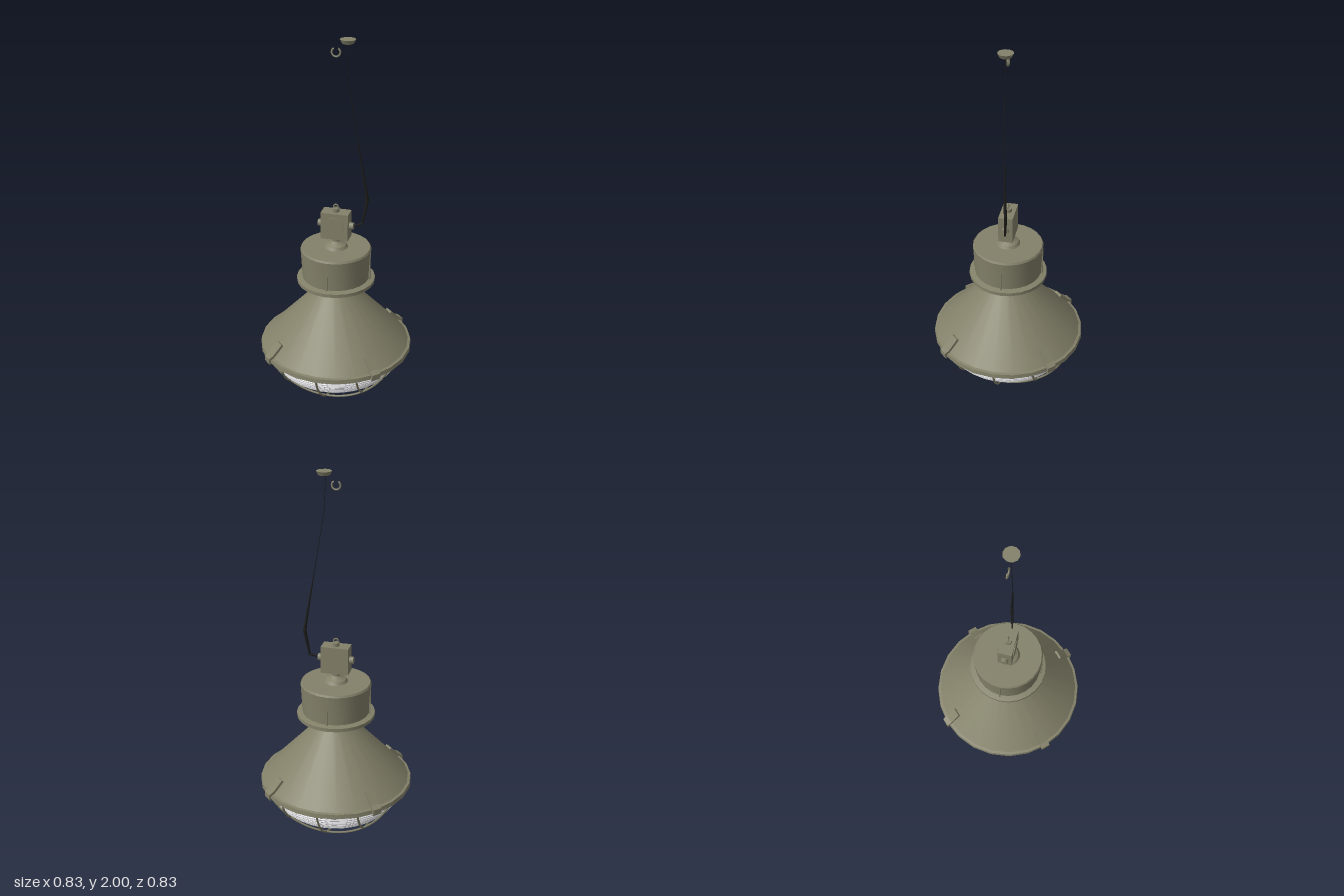
import * as THREE from 'three';
import { toCreasedNormals } from 'three/addons/utils/BufferGeometryUtils.js';

const paint = new THREE.MeshStandardMaterial({ name: 'olivePaint', color: 0x838169, side: THREE.DoubleSide });
const cableMat = new THREE.MeshStandardMaterial({ name: 'blackCable', color: 0x1c1c1a });
const glassMat = new THREE.MeshStandardMaterial({ name: 'paleGlass', color: 0xe0e0e3, side: THREE.DoubleSide });

export function createModel() {
  const model = new THREE.Group();
  model.name = 'pendantLamp';

  const add = (name, geo, mat, x = 0, y = 0, z = 0, parent = model) => {
    const mesh = new THREE.Mesh(geo, mat);
    mesh.name = name;
    mesh.position.set(x, y, z);
    parent.add(mesh);
    return mesh;
  };
  const lathe = (pts, sides = 24) =>
    toCreasedNormals(new THREE.LatheGeometry(pts.map(p => new THREE.Vector2(...p)), sides), 0.5);
  // Tapered round bar between two points
  const bar = (name, a, b, ra, rb, mat, sides = 6) => {
    const dir = b.clone().sub(a);
    const mesh = add(name, new THREE.CylinderGeometry(rb, ra, dir.length(), sides), mat);
    mesh.position.copy(a).addScaledVector(dir, 0.5);
    mesh.quaternion.setFromUnitVectors(new THREE.Vector3(0, 1, 0), dir.normalize());
    return mesh;
  };

  // Shade, with rolled rim
  add('shade', lathe([[0.4, 0.311], [0.1, 0.635]]), paint);
  add('rim', lathe([[0.375, 0.283], [0.405, 0.278], [0.417, 0.285], [0.414, 0.308], [0.4, 0.311]]), paint);
  add('neck', lathe([[0.1, 0.63], [0.1, 0.665], [0.108, 0.67], [0.108, 0.69]]), paint);

  // Ballast drum with stepped underside and lid
  add('drumFlange', lathe([[0.09, 0.7], [0.13, 0.7], [0.14, 0.688], [0.17, 0.688], [0.178, 0.683],
    [0.21, 0.683], [0.21, 0.702], [0.18, 0.708]]), paint);
  add('drum', lathe([[0.18, 0.7], [0.189, 0.87], [0.183, 0.88], [0, 0.88]]), paint);
  add('stemDome', lathe([[0.065, 0.88], [0.055, 0.895], [0.03, 0.908], [0.022, 0.915], [0.022, 0.94]], 16), paint);
  for (const a of [0, Math.PI / 2, Math.PI, -Math.PI / 2]) {
    const seam = add('drumSeam', new THREE.BoxGeometry(0.008, 0.165, 0.008), paint, Math.sin(a) * 0.186, 0.785, Math.cos(a) * 0.186);
    seam.rotation.y = a;
  }

  // Junction box with round cover and side glands
  add('junctionBox', new THREE.BoxGeometry(0.148, 0.148, 0.076), paint, 0, 1.01, 0);
  const cover = add('boxCover', new THREE.CylinderGeometry(0.05, 0.05, 0.006, 16), paint, 0, 1.01, 0.039);
  cover.rotation.x = Math.PI / 2;
  for (const s of [-1, 1]) {
    const gland = add('sideGland', new THREE.CylinderGeometry(0.02, 0.02, 0.024, 8), paint, s * 0.084, 1.01, 0);
    gland.rotation.z = Math.PI / 2;
  }
  add('topGland', new THREE.CylinderGeometry(0.02, 0.02, 0.02, 8), paint, 0, 1.093, 0);
  add('bottomGland', new THREE.CylinderGeometry(0.02, 0.02, 0.025, 8), paint, 0, 0.925, 0);
  add('eyeBolt', new THREE.TorusGeometry(0.012, 0.004, 6, 12), paint, 0, 1.112, 0);

  // Rim clips at the four diagonals
  const clipShape = new THREE.Shape([[0.338, 0.372], [0.35, 0.382], [0.402, 0.328], [0.428, 0.315], [0.428, 0.285],
    [0.418, 0.275], [0.416, 0.306], [0.398, 0.313]].map(p => new THREE.Vector2(...p)));
  const clipGeo = new THREE.ExtrudeGeometry(clipShape, { depth: 0.05, bevelEnabled: false });
  clipGeo.translate(0, 0, -0.025);
  for (let i = 0; i < 4; i++) {
    add('rimClip', clipGeo, paint).rotation.y = Math.PI / 4 + i * Math.PI / 2;
  }

  // Glass bowl: smooth bottom, stepped ribs on the upper band
  const bowlR = y => 0.375 * Math.sqrt(Math.max(0, 1 - ((0.285 - y) / 0.23) ** 2));
  const bowl = [];
  for (let i = 0; i <= 10; i++) {
    const y = 0.055 + 0.08 * (i / 10) ** 2;
    bowl.push([bowlR(y), y]);
  }
  add('glassBowl', lathe(bowl, 32), glassMat);
  const ribs = [];
  for (let i = 0; i < 9; i++) {
    const y = 0.135 + i * 0.0165, r = bowlR(y);
    ribs.push([r, y], [r + 0.004, y + 0.004], [r + 0.004, y + 0.01], [r, y + 0.013]);
  }
  ribs.push([0.375, 0.285]);
  add('glassRibs', lathe(ribs, 32), glassMat);

  // Guard cage: three wires each way over a spherical cap
  const guard = new THREE.Group();
  guard.name = 'guardCage';
  model.add(guard);
  for (const turn of [0, Math.PI / 2]) {
    for (const x of [-0.205, 0, 0.205]) {
      const pts = [];
      const half = Math.sqrt(0.4 ** 2 - x * x);
      for (let i = 0; i <= 12; i++) {
        const z = -half * Math.cos(Math.PI * i / 12);
        pts.push(new THREE.Vector3(x, 0.434 - Math.sqrt(0.428 ** 2 - x * x - z * z), z));
      }
      const path = new THREE.CatmullRomCurve3(pts);
      add('guardWire', new THREE.TubeGeometry(path, 24, 0.006, 5), paint, 0, 0, 0, guard).rotation.y = turn;
    }
  }

  // Supply cable, thinning towards the ceiling
  const cable = [[0.09, 1.01, 0, 0.004], [0.14, 1.025, -0.012, 0.006], [0.163, 1.16, -0.02, 0.009], [0.155, 1.22, -0.016, 0.007],
    [0.11, 1.5, -0.004, 0.002], [0.062, 1.8, 0.002, 0.0015], [0.052, 1.98, 0.002, 0.0015]];
  for (let i = 0; i + 1 < cable.length; i++) {
    const [a, b] = [cable[i], cable[i + 1]];
    bar('supplyCable', new THREE.Vector3(a[0], a[1], a[2]), new THREE.Vector3(b[0], b[1], b[2]), a[3], b[3], cableMat);
  }

  // Ceiling cap and open hanging hook
  add('ceilingCap', new THREE.CylinderGeometry(0.04, 0.03, 0.02, 10), paint, 0.06, 1.99, 0);
  const hook = add('ceilingHook', new THREE.TorusGeometry(0.022, 0.005, 6, 12, Math.PI * 1.65), paint, 0, 1.932, 0);
  hook.rotation.z = Math.PI * 0.675;

  return model;
}
